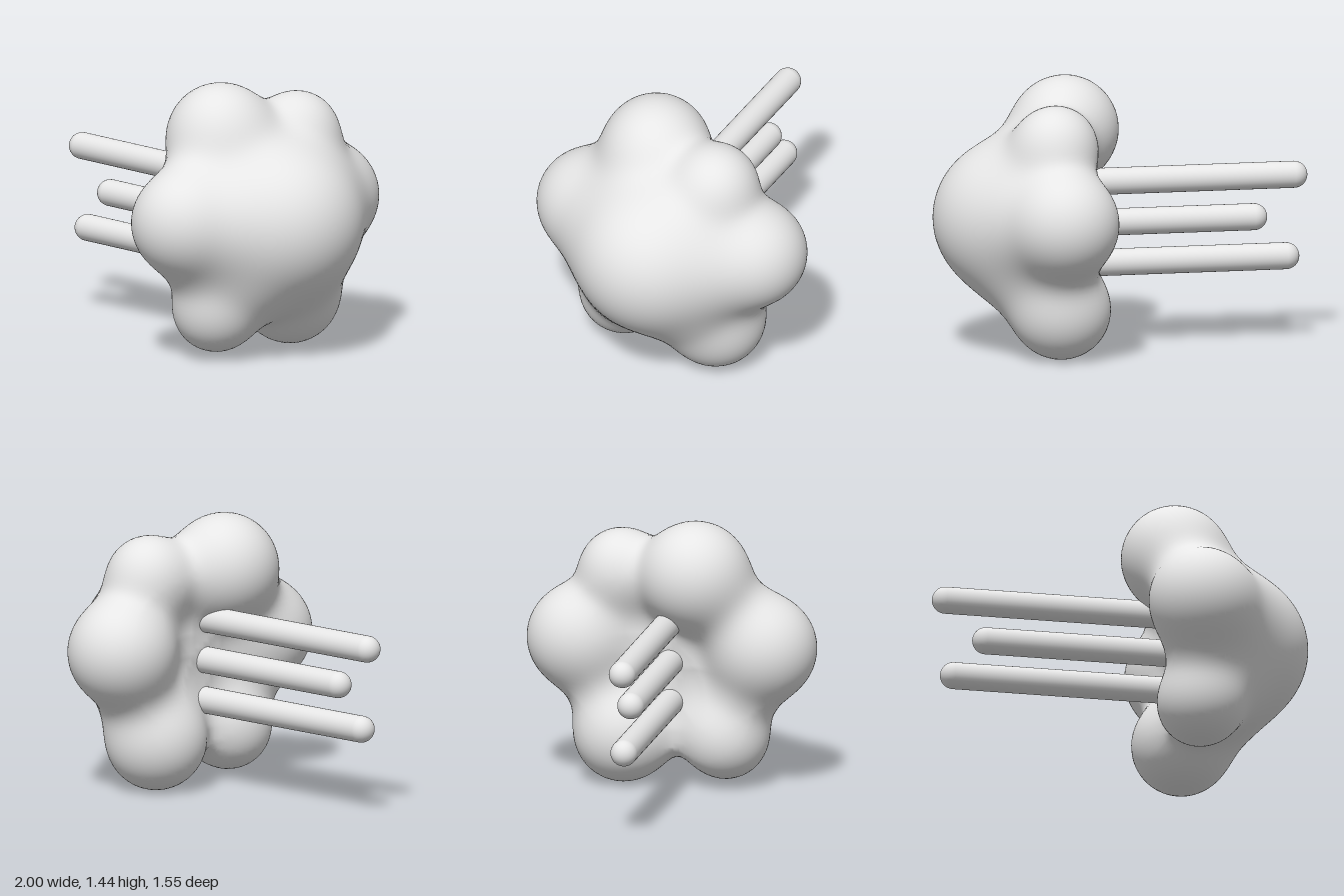
import * as THREE from 'three';

const CORE = [0.6, 0.725, 0, 0.398];
const HOLLOW = 0.385; // the core and necks are cut off behind this x
const BLEND = 0.06;

// Puffy lumps: x, y, z, radius, radius of the neck joining it to the core
const LUMPS = [
  [0.27, 1.16, 0.15, 0.282, 0.22],   // top
  [0.405, 1.14, -0.28, 0.215, 0.2],  // top rear
  [0.36, 0.76, 0.5, 0.276, 0.295],   // front
  [0.39, 0.77, -0.5, 0.276, 0.295],  // rear
  [0.38, 0.265, 0.29, 0.22, 0.26],   // bottom front
  [0.37, 0.265, -0.26, 0.258, 0.27], // bottom rear
];
const middle = (a, b, r) => [(a[0] + b[0]) / 2, (a[1] + b[1]) / 2, (a[2] + b[2]) / 2, r];
const NECKS = LUMPS.map((lump) => middle(lump, CORE, lump[4]));
// Small fillers between neighbouring lumps
const BRIDGES = [[0, 2, 0.14], [2, 4, 0.125], [3, 5, 0.115]].map(([a, b, r]) => middle(LUMPS[a], LUMPS[b], r));
const FREE = [...LUMPS, ...BRIDGES];
const CUT = [CORE, ...NECKS];

// Distance field: smooth union of all the balls
function field(x, y, z) {
  const ball = ([a, b, c, r]) => Math.hypot(x - a, y - b, z - c) - r;
  let sum = 0;
  for (const s of FREE) sum += Math.exp(-ball(s) / BLEND);
  for (const s of CUT) sum += Math.exp(-Math.max(ball(s), HOLLOW - x) / BLEND);
  return -BLEND * Math.log(sum);
}

function gradient(x, y, z, e = 0.004) {
  return new THREE.Vector3(
    field(x + e, y, z) - field(x - e, y, z),
    field(x, y + e, z) - field(x, y - e, z),
    field(x, y, z + e) - field(x, y, z - e)
  ).divideScalar(2 * e);
}

// Skin over the field: one vertex per crossing cell, one quad per crossing edge
function blobGeometry() {
  const h = 0.028, min = [-0.1, -0.1, -0.88], n = [42, 58, 64];
  const id = (i, j, k) => (i * n[1] + j) * n[2] + k;
  const values = new Float32Array(n[0] * n[1] * n[2]);
  const each = (from, trim, fn) => {
    for (let i = from; i < n[0] - trim; i++)
      for (let j = from; j < n[1] - trim; j++)
        for (let k = from; k < n[2] - trim; k++) fn(i, j, k);
  };
  each(0, 0, (i, j, k) => {
    values[id(i, j, k)] = field(min[0] + i * h, min[1] + j * h, min[2] + k * h);
  });

  const cells = new Map(), positions = [], normals = [], index = [];
  each(0, 1, (i, j, k) => {
    let inside = 0;
    for (let c = 0; c < 8; c++) if (values[id(i + (c & 1), j + ((c >> 1) & 1), k + (c >> 2))] < 0) inside++;
    if (inside === 0 || inside === 8) return;
    const p = new THREE.Vector3(min[0] + (i + 0.5) * h, min[1] + (j + 0.5) * h, min[2] + (k + 0.5) * h);
    for (let s = 0; s < 4; s++) {
      const g = gradient(p.x, p.y, p.z);
      p.addScaledVector(g, -field(p.x, p.y, p.z) / Math.max(g.lengthSq(), 0.3));
    }
    cells.set(id(i, j, k), positions.length / 3);
    positions.push(p.x, p.y, p.z);
    normals.push(...gradient(p.x, p.y, p.z, 0.012).normalize().toArray());
  });

  const step = [id(1, 0, 0), id(0, 1, 0), id(0, 0, 1)];
  each(1, 1, (i, j, k) => {
    const at = id(i, j, k);
    for (let axis = 0; axis < 3; axis++) {
      const a = values[at] < 0, b = values[at + step[axis]] < 0;
      if (a === b) continue;
      const u = step[(axis + 1) % 3], v = step[(axis + 2) % 3];
      const q = [at - u - v, at - v, at, at - u].map((c) => cells.get(c));
      if (!a) q.reverse();
      index.push(q[0], q[1], q[2], q[0], q[2], q[3]);
    }
  });

  const geometry = new THREE.BufferGeometry();
  geometry.setAttribute('position', new THREE.Float32BufferAttribute(positions, 3));
  geometry.setAttribute('normal', new THREE.Float32BufferAttribute(normals, 3));
  geometry.setIndex(index);
  return geometry;
}

export function createModel() {
  const group = new THREE.Group();
  const grey = new THREE.MeshStandardMaterial({ color: 0xe6e6e6 });
  grey.name = 'light grey';

  const cloud = new THREE.Mesh(blobGeometry(), grey);
  cloud.name = 'cloud';
  group.add(cloud);

  // Three round-ended rods reaching out sideways: tip x, height
  const rods = new THREE.Group();
  rods.name = 'rods';
  const radius = 0.071, end = 0.6;
  [[-1, 0.895], [-0.785, 0.676], [-0.957, 0.461]].forEach(([tip, y], i) => {
    const rod = new THREE.Mesh(new THREE.CapsuleGeometry(radius, end - tip - 2 * radius, 10, 32), grey);
    rod.name = `rod${i + 1}`;
    rod.rotation.z = Math.PI / 2;
    rod.position.set((tip + end) / 2, y, 0.01);
    rods.add(rod);
  });
  group.add(rods);
  return group;
}
